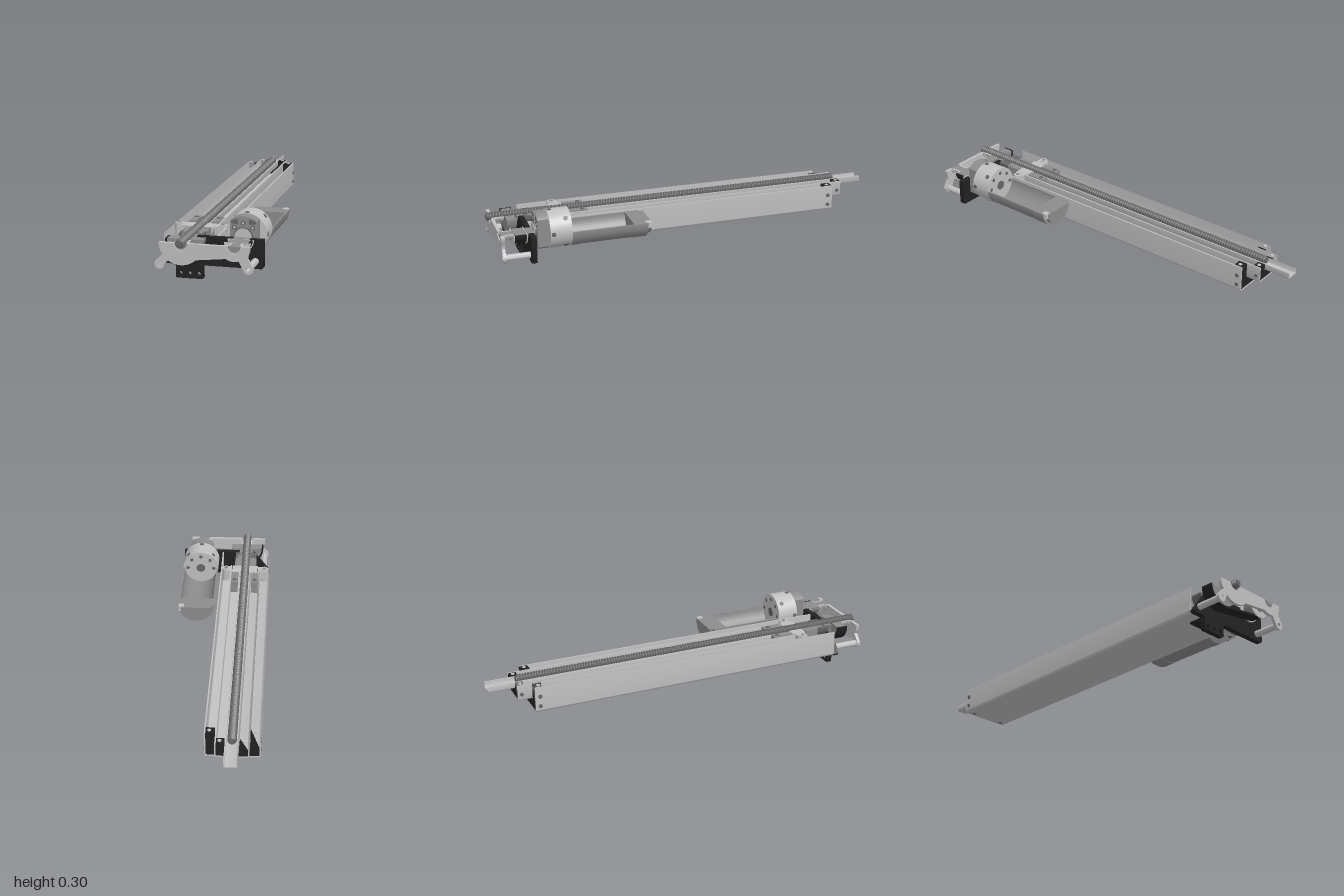
import * as THREE from 'three';
import { toCreasedNormals } from 'three/addons/utils/BufferGeometryUtils.js';

const PI = Math.PI;
const CUT = 0.2;      // height of the section plane
const SX = -0.105;    // screw axis x
const MX = 0.137;     // motor axis x

const mat = (name, color) => {
  const m = new THREE.MeshStandardMaterial({ color, side: THREE.DoubleSide });
  m.name = name;
  return m;
};

export function createModel() {
  const root = new THREE.Group();
  const light = mat('light aluminium', 0xc0c0c0);
  const grey = mat('mid grey steel', 0x8c8c8c);
  const dark = mat('dark steel', 0x686868);
  const black = mat('black plastic', 0x222222);

  const add = (name, geo, m) => {
    const mesh = new THREE.Mesh(geo, m);
    mesh.name = name;
    root.add(mesh);
    return mesh;
  };
  // extrude an x-y outline between two depths
  const ext = (name, shape, z0, z1, m) => {
    const g = new THREE.ExtrudeGeometry(shape, { depth: z1 - z0, bevelEnabled: false, curveSegments: 24 });
    g.translate(0, 0, z0);
    return add(name, toCreasedNormals(g, 0.6), m);
  };
  const box = (name, x0, x1, y0, y1, z0, z1, m) => add(name,
    new THREE.BoxGeometry(x1 - x0, y1 - y0, z1 - z0).translate((x0 + x1) / 2, (y0 + y1) / 2, (z0 + z1) / 2), m);
  const poly = (pts) => new THREE.Shape(pts.map(([x, y]) => new THREE.Vector2(x, y)));
  const circle = (x, y, r) => new THREE.Path().absarc(x, y, r, 0, 2 * PI, false);
  const ring = (x, y, R, r = 0) => {
    const s = new THREE.Shape().absarc(x, y, R, 0, 2 * PI, false);
    if (r) s.holes.push(circle(x, y, r));
    return s;
  };
  // lower half of a disc or ring, cut at the section plane
  const half = (x, R, r = 0) => {
    const s = new THREE.Shape().absarc(x, CUT, R, PI, 2 * PI, false);
    if (r) s.absarc(x, CUT, r, 2 * PI, PI, true);
    s.closePath();
    return s;
  };
  // open U section: half width w, wall t, outer corner radius c
  const channel = (w, t, c) => {
    const s = new THREE.Shape();
    const i = w - t, k = Math.max(c - t, 0.001), b = CUT - w;
    s.moveTo(SX - w, CUT);
    s.absarc(SX - w + c, b + c, c, PI, 1.5 * PI, false);
    s.absarc(SX + w - c, b + c, c, 1.5 * PI, 2 * PI, false);
    s.lineTo(SX + w, CUT);
    s.lineTo(SX + i, CUT);
    s.absarc(SX + i - k, CUT - i + k, k, 2 * PI, 1.5 * PI, true);
    s.absarc(SX - i + k, CUT - i + k, k, 1.5 * PI, PI, true);
    s.lineTo(SX - i, CUT);
    s.closePath();
    return s;
  };
  // thin round plate facing along a direction
  const dot = (name, pos, dir, r, m) => {
    const mesh = add(name, new THREE.CylinderGeometry(r, r, 0.005, 16), m);
    mesh.position.set(...pos);
    mesh.quaternion.setFromUnitVectors(new THREE.Vector3(0, 1, 0), new THREE.Vector3(...dir).normalize());
  };

  // telescoping channels and the guide bushings between them
  ext('outerChannel', channel(0.132, 0.007, 0.014), -0.8, 0.82, light);
  ext('middleChannel', channel(0.08, 0.007, 0.01), -0.87, 0.68, light);
  ext('innerChannel', channel(0.033, 0.006, 0.007), -1, 0.62, light);
  ext('outerBushing', channel(0.125, 0.043, 0.008), -0.798, -0.755, black);
  ext('middleBushing', channel(0.073, 0.038, 0.006), -0.868, -0.83, black);
  for (const s of [-1, 1]) {
    for (const y of [0.1, 0.15]) dot('outerScrew', [SX + s * 0.132, y, -0.776], [s, 0, 0], 0.01, dark);
    dot('middleScrew', [SX + s * 0.08, 0.152, -0.85], [s, 0, 0], 0.009, dark);
    dot('bushingPin', [SX + s * 0.108, CUT, -0.777], [0, 1, 0], 0.009, light);
    dot('bushingPin', [SX + s * 0.057, CUT, -0.85], [0, 1, 0], 0.009, light);
    dot('bottomScrew', [SX + s * 0.09, 0.068, -0.776], [0, -1, 0], 0.01, dark);
    dot('bottomScrew', [SX + s * 0.04, 0.12, -0.85], [0, -1, 0], 0.008, dark);
  }

  // lead screw with ridged thread
  const prof = [[0, -0.855], [0.016, -0.855]];
  for (let z = -0.85; z < 0.985; z += 0.014) prof.push([0.0165, z], [0.0215, z + 0.005], [0.0215, z + 0.008]);
  prof.push([0.0165, 0.995], [0.015, 1], [0, 1]);
  const screw = new THREE.LatheGeometry(prof.map(([r, z]) => new THREE.Vector2(r, z)), 20);
  add('leadScrew', toCreasedNormals(screw, 0.4).rotateX(PI / 2).translate(SX, CUT, 0), dark);

  // nuts, carriage and guide rollers inside the channels
  ext('driveNut', half(SX, 0.045, 0.021), 0.68, 0.8, grey);
  ext('nutFlange', half(SX, 0.068, 0.021), 0.61, 0.68, light);
  ext('thrustBearing', half(SX, 0.058, 0.021), 0.765, 0.82, dark);
  for (const s of [-1, 1]) {
    const side = (a, b) => [Math.min(SX + s * a, SX + s * b), Math.max(SX + s * a, SX + s * b)];
    box('guideBlock', ...side(0.036, 0.072), 0.14, 0.205, 0.5, 0.6, grey);
    box('carriageArm', ...side(0.07, 0.11), 0.15, CUT, 0.62, 0.67, light);
    box('nutLug', ...side(0.03, 0.058), 0.15, CUT, 0.69, 0.76, grey);
    dot('guideBolt', [SX + s * 0.054, 0.205, 0.525], [0, 1, 0], 0.011, dark);
    const roller = add('guideRoller', new THREE.CylinderGeometry(0.021, 0.021, 0.07, 20), light);
    roller.position.set(SX + s * 0.104, 0.17, 0.645);
    dot('rollerPin', [SX + s * 0.104, 0.206, 0.645], [0, 1, 0], 0.009, grey);
  }

  // black mounting plate with bearing notches and drilled tab
  const plate = new THREE.Shape();
  const c = 0.011;
  plate.moveTo(-0.238, CUT);
  plate.absarc(-0.238 + c, 0.065 + c, c, PI, 1.5 * PI, false);
  plate.lineTo(-0.176, 0.065);
  plate.lineTo(-0.169, 0.058);
  plate.absarc(-0.163, 0.006, 0.006, PI, 1.5 * PI, false);
  plate.absarc(-0.047, 0.006, 0.006, 1.5 * PI, 2 * PI, false);
  plate.lineTo(-0.041, 0.058);
  plate.lineTo(-0.034, 0.065);
  plate.absarc(0.238 - c, 0.065 + c, c, 1.5 * PI, 2 * PI, false);
  plate.lineTo(0.238, CUT);
  for (const x of [MX, SX]) plate.absarc(x, CUT, 0.038, 2 * PI, PI, true);
  plate.closePath();
  for (const x of [-0.147, SX, -0.062]) plate.holes.push(circle(x, 0.022, 0.01));
  plate.holes.push(circle(0.201, 0.1, 0.01));
  ext('mountingPlate', plate, 0.82, 0.846, black);
  box('plateFoot', -0.169, -0.041, 0.056, 0.066, 0.755, 0.82, black);

  // belt drive: two pulleys and the lower run of the belt
  const tangent = 2 * PI - Math.acos((0.092 - 0.055) / (MX - SX));
  const belt = new THREE.Shape();
  belt.absarc(SX, CUT, 0.092, PI, tangent, false);
  belt.absarc(MX, CUT, 0.055, tangent, 2 * PI, false);
  belt.absarc(MX, CUT, 0.046, 2 * PI, tangent, true);
  belt.absarc(SX, CUT, 0.083, tangent, PI, true);
  belt.closePath();
  ext('driveBelt', belt, 0.858, 0.915, black);
  ext('screwPulley', half(SX, 0.083, 0.021), 0.862, 0.911, grey);
  ext('motorPulley', half(MX, 0.046, 0.02), 0.862, 0.911, grey);
  for (const z of [0.853, 0.915]) ext('motorPulleyFlange', half(MX, 0.06, 0.02), z, z + 0.005, light);
  for (const x of [SX, MX]) {
    ext('rearBearing', half(x, 0.038, 0.02), 0.815, 0.853, grey);
    ext('pulleyHub', half(x, 0.03, 0.02), 0.915, 0.965, light);
    ext('frontBearing', half(x, 0.036, 0.029), 0.955, 0.98, light);
    ext('bearingRace', half(x, 0.029, 0.02), 0.958, 0.976, grey);
  }
  ext('motorShaft', half(MX, 0.02), 0.76, 0.98, grey);

  // front cover with two ears on standoffs
  const cover = new THREE.Shape();
  cover.moveTo(-0.205, CUT);
  cover.quadraticCurveTo(-0.205, 0.165, -0.188, 0.148);
  cover.lineTo(-0.219, 0.116);
  cover.absarc(-0.203, 0.1, 0.023, 0.75 * PI, 1.75 * PI, false);
  cover.lineTo(-0.168, 0.122);
  cover.absarc(SX, CUT, 0.1, 1.28 * PI, 1.74 * PI, false);
  cover.lineTo(0.1, 0.142);
  cover.absarc(MX, CUT, 0.069, 1.33 * PI, 1.6 * PI, false);
  cover.lineTo(0.183, 0.086);
  cover.absarc(0.201, 0.1, 0.023, 1.2 * PI, 2.2 * PI, false);
  cover.lineTo(0.2, 0.145);
  cover.quadraticCurveTo(0.198, 0.16, 0.207, 0.175);
  cover.lineTo(0.207, CUT);
  for (const x of [MX, SX]) cover.absarc(x, CUT, 0.036, 2 * PI, PI, true);
  cover.closePath();
  for (const x of [-0.203, 0.201]) cover.holes.push(circle(x, 0.1, 0.01));
  ext('frontCover', cover, 0.966, 0.982, light);
  for (const x of [-0.203, 0.201]) ext('standoff', ring(x, 0.1, 0.016, 0.01), 0.846, 0.966, light);
  ext('standoffBolt', ring(-0.203, 0.1, 0.01), 0.846, 0.979, light);

  // gearbox: full drum with a flat-sided front block
  ext('gearboxDrum', ring(MX, CUT, 0.095), 0.643, 0.75, light);
  const a = Math.acos(0.062 / 0.093);
  const block = new THREE.Shape();
  block.absarc(MX, CUT, 0.093, a, PI - a, false);
  block.absarc(MX, CUT, 0.093, PI + a, 2 * PI - a, false);
  block.closePath();
  ext('gearboxBlock', block, 0.75, 0.806, grey);
  ext('gearboxRib', poly([[MX - 0.022, 0.235], [MX + 0.022, 0.235], [MX + 0.022, 0.289], [MX - 0.022, 0.289]]), 0.806, 0.813, grey);
  ext('gearboxBoss', ring(MX, CUT, 0.045, 0.04), 0.806, 0.815, dark);
  ext('gearboxBossFace', ring(MX, CUT, 0.04), 0.806, 0.817, light);
  for (const s of [-1, 1]) {
    ext('gearboxPocket', poly([[0.026, 0.258], [0.026, 0.277], [0.036, 0.28], [0.058, 0.268], [0.058, 0.262], [0.042, 0.256]]
      .map(([x, y]) => [MX + s * x, y])), 0.805, 0.808, dark);
  }
  for (const [dx, y] of [[0, 0.264], [-0.042, 0.242], [0.042, 0.242]]) {
    const z = dx ? 0.806 : 0.813;
    ext('faceScrew', ring(MX + dx, y, 0.011, 0.006), z, z + 0.004, dark);
    dot('faceScrewHead', [MX + dx, y, z], [0, 0, 1], 0.006, light);
  }
  for (let i = 0; i < 8; i++) {
    const t = i * PI / 4, x = Math.cos(t), y = Math.sin(t);
    dot('drumScrew', [MX + 0.0945 * x, CUT + 0.0945 * y, i % 2 ? 0.67 : 0.735], [x, y, 0], 0.011, dark);
    if (i < 5) dot('rearScrew', [MX + 0.07 * x, CUT + 0.07 * y, 0.643], [0, 0, -1], 0.009, dark);
  }
  dot('rearBore', [MX, CUT, 0.643], [0, 0, -1], 0.024, dark);

  // motor: half shell and solid end cap
  ext('motorShell', half(MX, 0.093, 0.086), 0.335, 0.643, grey);
  ext('motorBand', half(MX, 0.095, 0.086), 0.6, 0.643, grey);
  ext('motorEndCap', half(MX, 0.095), 0.265, 0.335, grey);
  ext('motorEndBoss', half(MX, 0.08), 0.243, 0.265, grey);
  box('motorTerminal', 0.2, 0.228, 0.175, 0.203, 0.245, 0.275, light);

  return root;
}
